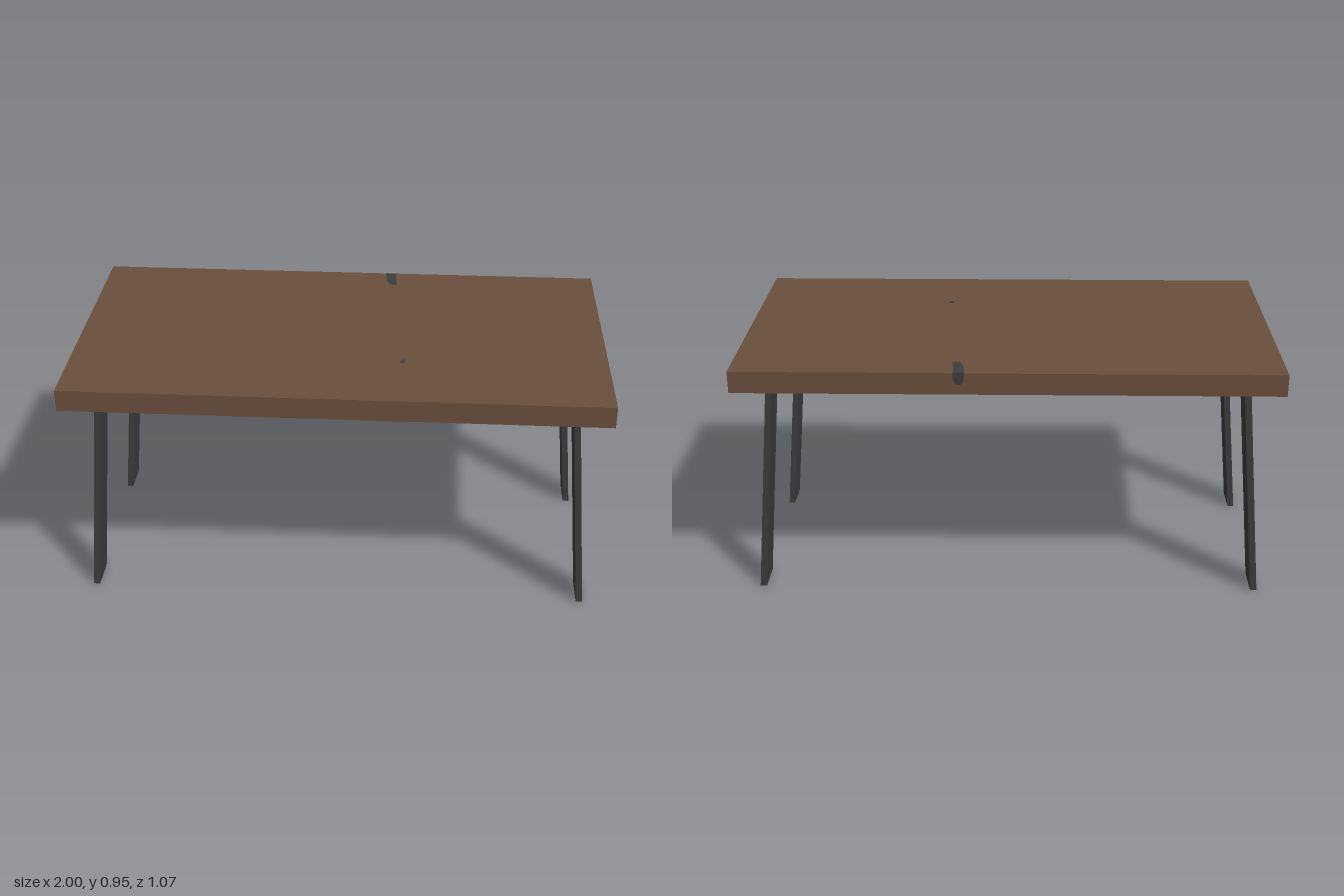
import * as THREE from 'three';

export function createModel() {
  const group = new THREE.Group();
  const wood = new THREE.MeshStandardMaterial({ color: 0x6b4f3c });
  wood.name = 'brown wood';
  const steel = new THREE.MeshStandardMaterial({ color: 0x3d3d3d });
  steel.name = 'dark grey steel';

  const add = (name, geometry, material, x = 0, y = 0, z = 0) => {
    const mesh = new THREE.Mesh(geometry, material);
    mesh.name = name;
    mesh.position.set(x, y, z);
    group.add(mesh);
    return mesh;
  };

  // Solid slab top
  const under = 0.865, top = 0.947, depth = 1.066;
  add('tableTop', new THREE.BoxGeometry(2, top - under, depth), wood, 0, (under + top) / 2, 0);

  // Bent flat-bar leg: splayed upright, rounded bend, mounting tab under the slab
  const legWidth = 0.13;
  const legGeometry = (side) => {
    const s = new THREE.Shape();
    s.moveTo(side * 0.943, 0);
    s.lineTo(side * 0.968, 0);
    s.lineTo(side * 0.889, 0.848);
    s.quadraticCurveTo(side * 0.887, under, side * 0.872, under);
    s.lineTo(side * 0.8, under);
    s.lineTo(side * 0.8, 0.842);
    s.lineTo(side * 0.865, 0.842);
    s.closePath();
    return new THREE.ExtrudeGeometry(s, { depth: legWidth, bevelEnabled: false, curveSegments: 4 });
  };
  for (const side of [1, -1]) {
    const geometry = legGeometry(side);
    const label = side > 0 ? 'Left' : 'Right';
    add('front' + label + 'Leg', geometry, steel, 0, 0, 0.288);
    add('back' + label + 'Leg', geometry, steel, 0, 0, -0.288 - legWidth);
  }

  // Filled knots: thin inlays on the top and down the back edge
  const inlay = { depth: 0.003, bevelEnabled: false, curveSegments: 6 };
  const back = depth / 2;
  const crack = new THREE.Shape();
  crack.moveTo(0.153, back);
  crack.quadraticCurveTo(0.152, 0.47, 0.17, 0.432);
  crack.quadraticCurveTo(0.184, 0.41, 0.2, 0.43);
  crack.quadraticCurveTo(0.192, 0.48, 0.194, back);
  crack.closePath();
  add('topKnot', new THREE.ExtrudeGeometry(crack, inlay), steel, 0, top - 0.002, 0).rotation.x = -Math.PI / 2;

  const drip = new THREE.Shape();
  drip.moveTo(0.153, top);
  drip.quadraticCurveTo(0.153, top - 0.045, 0.174, top - 0.045);
  drip.quadraticCurveTo(0.194, top - 0.045, 0.194, top);
  drip.closePath();
  add('backEdgeKnot', new THREE.ExtrudeGeometry(drip, inlay), steel, 0, 0, -back - 0.001);

  const dot = add('smallKnot', new THREE.CylinderGeometry(0.01, 0.01, 0.003, 12), steel, 0.24, top - 0.0005, 0.235);
  dot.scale.z = 1.3;

  return group;
}
